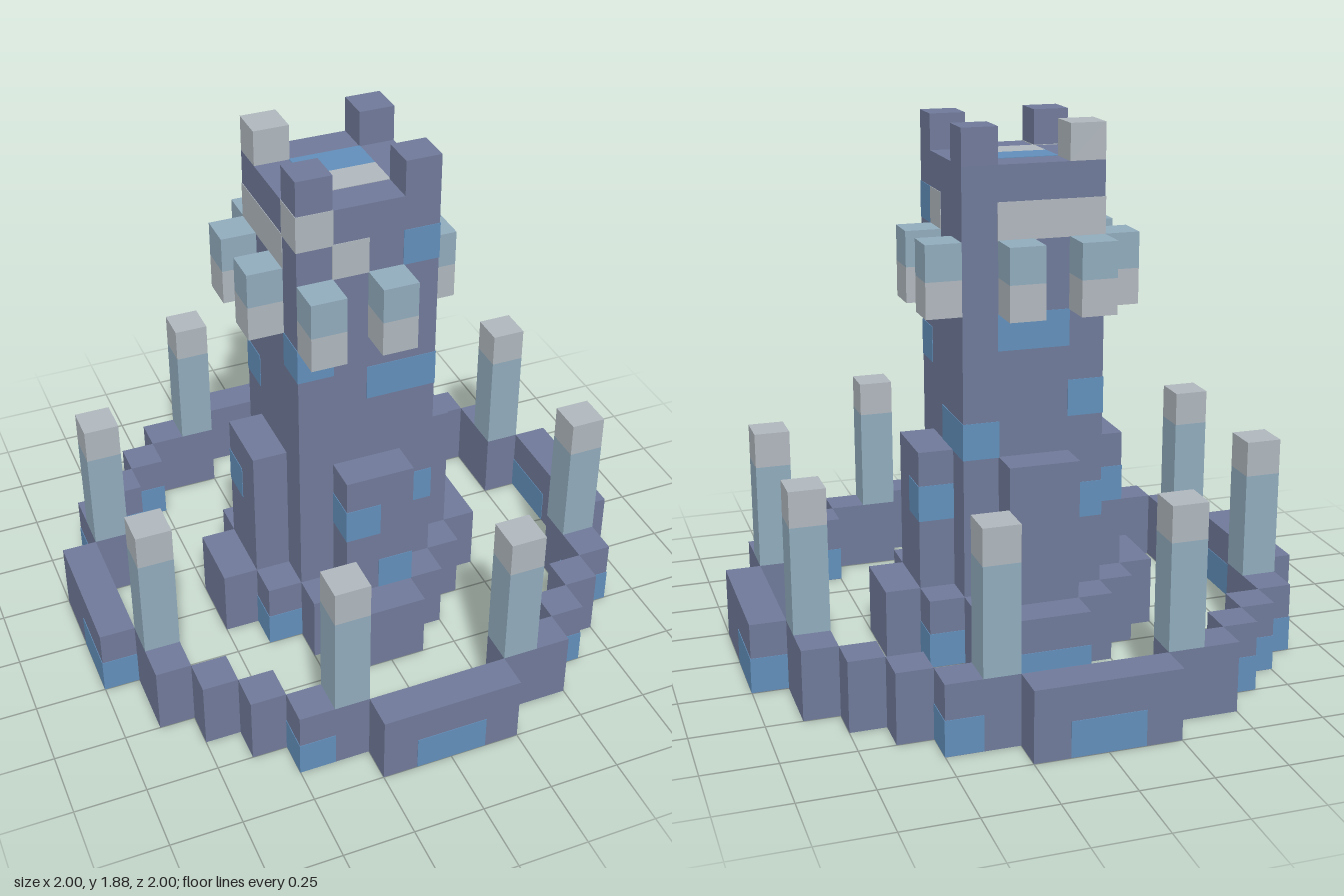
import * as THREE from 'three';

const U = 0.125; // one block

export function createModel() {
  const root = new THREE.Group();
  root.name = 'blockTower';
  const material = (name, color) => {
    const m = new THREE.MeshStandardMaterial({ color });
    m.name = name;
    return m;
  };
  const stone = material('slateStone', 0x707a9a);
  const blue = material('blueStone', 0x628fbb);
  const grey = material('paleGrey', 0xb0b8be);
  const teal = material('paleTeal', 0x91acbd);

  const group = (name) => {
    const g = new THREE.Group();
    g.name = name;
    root.add(g);
    return g;
  };
  // Box from its lowest corner and its size, both in blocks
  const box = (parent, name, mat, x, y, z, w = 1, h = 1, d = 1, skin = 0) => {
    const lift = y === 0 ? skin : -skin;
    const top = (y + h) * U + skin, bottom = y * U + lift;
    const mesh = new THREE.Mesh(
      new THREE.BoxGeometry(w * U + 2 * skin, top - bottom, d * U + 2 * skin), mat);
    mesh.position.set((x + w / 2) * U, (top + bottom) / 2, (z + d / 2) * U);
    mesh.name = name;
    parent.add(mesh);
  };

  // Outer ring wall: four straight runs and stepped corners
  const ring = group('outerRing');
  for (const s of [-8, 7]) {
    box(ring, 'ringWall', stone, -2, 0, s, 4, 2, 1);
    box(ring, 'ringWall', stone, s, 0, -2, 1, 2, 4);
  }
  const pillars = group('ringPillars');
  const mirror = (c, s) => (s > 0 ? c : -c - 1);
  for (const sx of [-1, 1]) for (const sz of [-1, 1]) {
    for (const [x, z] of [[2, 6], [3, 6], [4, 5], [5, 4], [6, 3], [6, 2]])
      box(ring, 'ringStep', stone, mirror(x, sx), 0, mirror(z, sz), 1, 2, 1);
    // Pillars with pale caps
    for (const [x, z] of [[2, 6], [6, 2]]) {
      box(pillars, 'pillarShaft', teal, mirror(x, sx), 2, mirror(z, sz), 1, 3, 1);
      box(pillars, 'pillarCap', grey, mirror(x, sx), 5, mirror(z, sz));
    }
  }

  // Stepped diamond base, one row of blocks at a time
  const base = group('towerBase');
  [1, 2, 3, 4, 4, 3, 2, 1].forEach((half, i) =>
    box(base, 'baseRow', stone, -half, 0, i - 4, half * 2, 2, 1));

  // Tower shaft, buttresses and corner merlons
  const tower = group('tower');
  box(tower, 'shaft', stone, -2, 2, -2, 4, 12, 4);
  for (const s of [-3, 2]) {
    box(tower, 'buttress', stone, -1, 2, s, 2, 4, 1);
    box(tower, 'buttress', stone, s, 2, -1, 1, 4, 2);
  }
  for (const x of [-2, 1]) for (const z of [-2, 1])
    box(tower, 'merlon', x < 0 && z < 0 ? grey : stone, x, 14, z);

  // Lanterns hung around the upper shaft
  const lanterns = group('lanterns');
  for (const [x, z] of [[-2, -3], [0, -3], [-3, -2], [2, -2], [-3, 0], [2, 0], [-2, 2], [0, 2]]) {
    box(lanterns, 'lanternTop', teal, x, 11, z);
    box(lanterns, 'lanternBottom', grey, x, 10, z);
  }

  // Coloured blocks set into the stone: x, y, z, then size
  const inlays = group('inlays');
  const bluePatches = [
    [1, 12, 1], [-2, 9, 1], [0, 8, 1, 2], [1, 6, -2, 1, 1, 2], [-2, 7, -2],
    [-1, 9, -2, 2], [1, 4, 1], [-2, 4, -2], [-1, 4, 2], [0, 2, 2],
    [2, 4, -1], [-3, 4, -1], [-1, 13, -1, 2],
    [-1, 0, 7, 2], [-4, 0, 6], [4, 0, 5], [6, 0, 3], [7, 0, -2, 1, 1, 2],
    [-1, 0, -8, 2], [3, 0, -7], [-5, 0, -6], [-6, 0, -5], [-7, 0, -4],
    [-8, 0, 0, 1, 1, 2], [2, 0, -2], [-1, 0, -4, 2], [-3, 0, 1],
  ];
  const greyPatches = [
    [-2, 13, 1], [-1, 12, 1], [1, 12, 0], [-1, 13, 0, 2],
    [-2, 12, -2, 3], [-2, 12, -1, 1, 1, 2],
  ];
  for (const [list, mat, name] of [[bluePatches, blue, 'blueInlay'], [greyPatches, grey, 'greyInlay']])
    for (const [x, y, z, w = 1, h = 1, d = 1] of list)
      box(inlays, name, mat, x, y, z, w, h, d, 0.002);

  return root;
}
